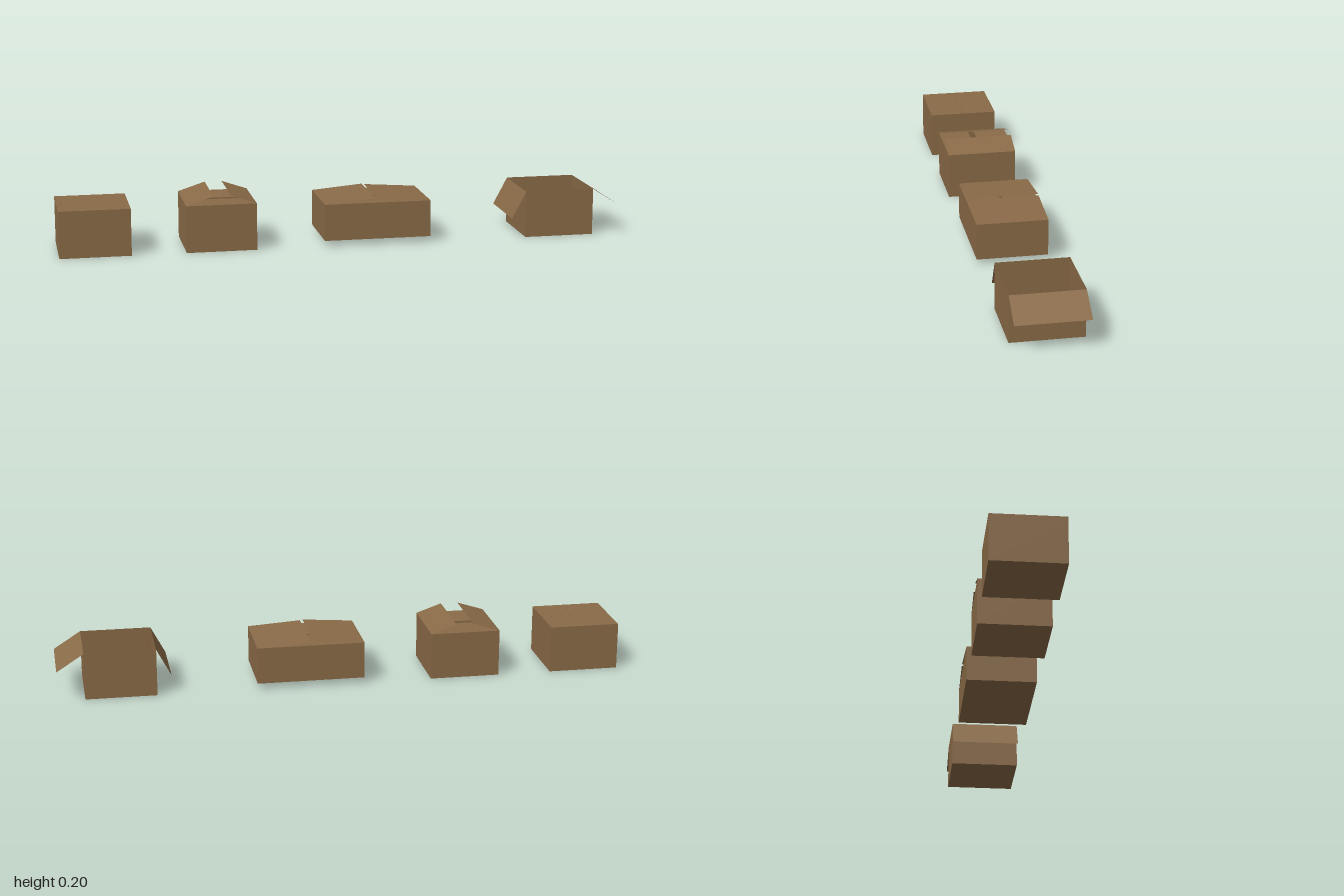
import * as THREE from 'three';

const card = new THREE.MeshStandardMaterial({ color: 0x8a6b48, side: THREE.DoubleSide, flatShading: true });
const D = 0.125; // half depth shared by all boxes

// Flat cardboard panel from four corners, counter-clockwise seen from outside
function panel(name, a, b, c, d) {
  const g = new THREE.BufferGeometry();
  g.setAttribute('position', new THREE.Float32BufferAttribute([...a, ...b, ...c, ...d], 3));
  g.setIndex([0, 1, 2, 0, 2, 3]);
  g.computeVertexNormals();
  const m = new THREE.Mesh(g, card);
  m.name = name;
  return m;
}

// Open carton: floor and four walls
function carton(name, x0, x1, y0, y1) {
  const box = new THREE.Group();
  box.name = name;
  box.add(
    panel('floor', [x0, y0, -D], [x1, y0, -D], [x1, y0, D], [x0, y0, D]),
    panel('frontWall', [x0, y0, D], [x1, y0, D], [x1, y1, D], [x0, y1, D]),
    panel('backWall', [x1, y0, -D], [x0, y0, -D], [x0, y1, -D], [x1, y1, -D]),
    panel('leftWall', [x1, y0, D], [x1, y0, -D], [x1, y1, -D], [x1, y1, D]),
    panel('rightWall', [x0, y0, -D], [x0, y0, D], [x0, y1, D], [x0, y1, -D])
  );
  return box;
}

// Flap hinged on a side wall at x = hx, free edge at (tx, ty), free edge shifted by dz
function sideFlap(name, hx, hy, tx, ty, dz = 0) {
  const hinge = [[hx, hy, D], [hx, hy, -D]];
  const tip = [[tx, ty, D + dz], [tx, ty, -D + dz]];
  const [l, r] = hx < tx ? [hinge, tip] : [tip, hinge];
  return panel(name, l[0], r[0], r[1], l[1]);
}

// Flap hinged on the front or back wall, free edge at (ty, tz)
function endFlap(name, x0, x1, hy, side, ty, tz) {
  const hinge = [[x0, hy, side * D], [x1, hy, side * D]];
  const tip = [[x0, ty, tz], [x1, ty, tz]];
  const [f, b] = side > 0 ? [hinge, tip] : [tip, hinge];
  return panel(name, f[0], f[1], b[1], b[0]);
}

export function createModel() {
  const model = new THREE.Group();
  model.name = 'cardboardBoxes';
  const H = 0.166;

  // Closed box, two flaps meeting in the middle
  const closed = carton('closedBox', -1, -0.752, 0, H);
  closed.add(
    endFlap('frontFlap', -1, -0.752, H, 1, H, 0.0005),
    endFlap('backFlap', -1, -0.752, H, -1, H, -0.0005)
  );

  // Half closed box, side flaps lifted over the folded end flaps
  const half = carton('halfClosedBox', -0.562, -0.315, 0, H);
  half.add(
    sideFlap('rightFlap', -0.562, H, -0.466, 0.197),
    sideFlap('leftFlap', -0.315, H, -0.405, 0.197),
    endFlap('frontFlap', -0.56, -0.317, H, 1, 0.163, 0.014),
    endFlap('backFlap', -0.56, -0.317, H, -1, 0.163, -0.008)
  );

  // Long, low box with its lid flaps slightly sprung
  const long = carton('longBox', -0.075, 0.305, 0.02, 0.15);
  long.add(
    sideFlap('rightFlap', -0.075, 0.15, 0.107, 0.165, -0.003),
    sideFlap('leftFlap', 0.305, 0.15, 0.117, 0.163, -0.003),
    endFlap('frontFlap', -0.073, 0.303, 0.15, 1, 0.148, 0.005),
    endFlap('backFlap', -0.073, 0.303, 0.15, -1, 0.148, -0.005)
  );

  // Open box, side flaps folded outwards
  const open = carton('openBox', 0.656, 0.905, 0, H);
  open.add(
    sideFlap('rightFlap', 0.656, H, 0.605, 0.07),
    sideFlap('leftFlap', 0.905, H, 1, 0.105)
  );

  model.add(closed, half, long, open);
  return model;
}
